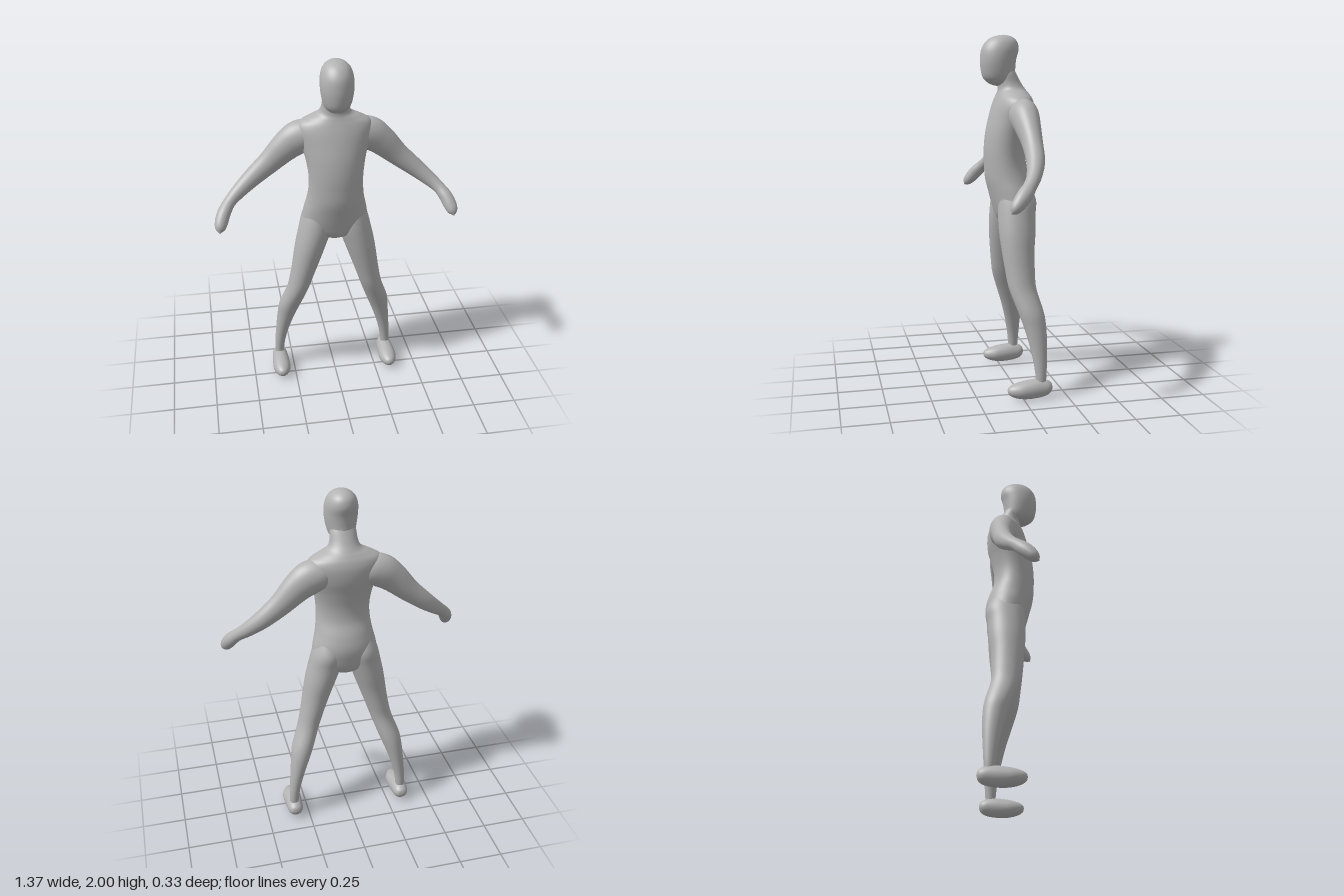
import * as THREE from 'three';

const X = new THREE.Vector3(1, 0, 0);
const Y = new THREE.Vector3(0, 1, 0);
const Z = new THREE.Vector3(0, 0, 1);
const SIDES = 40, STEPS = 6;

// Smooth closed skin over oval stations [x, y, z, halfWidth, halfDepth].
// ref orients the ovals; axis, when given, keeps every oval square to it.
function loft(stations, ref, axis) {
  const path = new THREE.CatmullRomCurve3(stations.map(s => new THREE.Vector3(s[0], s[1], s[2])), false, 'catmullrom', 0.5);
  const size = new THREE.CatmullRomCurve3(stations.map(s => new THREE.Vector3(s[3], s[4], 0)), false, 'catmullrom', 0.5);
  const rows = (stations.length - 1) * STEPS;
  const pos = [], idx = [];
  for (let i = 0; i <= rows; i++) {
    const c = path.getPoint(i / rows), r = size.getPoint(i / rows);
    const t = axis || path.getTangent(i / rows);
    const u = new THREE.Vector3().crossVectors(t, ref).normalize();
    const v = new THREE.Vector3().crossVectors(u, t).normalize();
    for (let j = 0; j < SIDES; j++) {
      const a = (j / SIDES) * Math.PI * 2;
      const p = c.clone()
        .addScaledVector(u, Math.max(r.x, 0.002) * Math.cos(a))
        .addScaledVector(v, Math.max(r.y, 0.002) * Math.sin(a));
      pos.push(p.x, p.y, p.z);
    }
  }
  for (let i = 0; i < rows; i++) {
    for (let j = 0; j < SIDES; j++) {
      const k = (j + 1) % SIDES, a = i * SIDES, b = a + SIDES;
      idx.push(a + j, b + j, b + k, a + j, b + k, a + k);
    }
  }
  // End caps
  const first = path.getPoint(0), last = path.getPoint(1);
  const n = pos.length / 3, top = rows * SIDES;
  pos.push(first.x, first.y, first.z, last.x, last.y, last.z);
  for (let j = 0; j < SIDES; j++) {
    const k = (j + 1) % SIDES;
    idx.push(n, j, k, n + 1, top + k, top + j);
  }
  const g = new THREE.BufferGeometry();
  g.setAttribute('position', new THREE.Float32BufferAttribute(pos, 3));
  g.setIndex(idx);
  g.computeVertexNormals();
  return g;
}

// Upright section: height, centre x, half width, back z, front z
const level = (y, x, w, back, front) => [x, y, (back + front) / 2, w, (front - back) / 2];

export function createModel() {
  const model = new THREE.Group();
  model.name = 'humanFigure';
  const skin = new THREE.MeshStandardMaterial({ color: 0xb3b3b3 });
  skin.name = 'plain grey';
  const add = (name, geometry) => {
    const mesh = new THREE.Mesh(geometry, skin);
    mesh.name = name;
    model.add(mesh);
  };

  // Torso from crotch to neck
  add('torso', loft([
    level(0.945, 0, 0.0, -0.03, -0.03),
    level(0.955, 0, 0.07, -0.08, 0.05),
    level(0.985, 0, 0.14, -0.108, 0.08),
    level(1.04, 0, 0.187, -0.125, 0.098),
    level(1.12, 0, 0.182, -0.137, 0.12),
    level(1.2, 0, 0.163, -0.122, 0.14),
    level(1.28, 0, 0.153, -0.092, 0.146),
    level(1.36, 0, 0.154, -0.088, 0.147),
    level(1.45, 0, 0.168, -0.105, 0.138),
    level(1.53, 0, 0.19, -0.126, 0.12),
    level(1.6, 0, 0.21, -0.131, 0.1),
    level(1.645, 0, 0.197, -0.122, 0.084),
    level(1.675, 0, 0.145, -0.106, 0.073),
    level(1.7, 0, 0.095, -0.088, 0.067),
    level(1.735, 0, 0.077, -0.064, 0.07),
    level(1.79, 0, 0.07, -0.034, 0.08),
    level(1.83, 0, 0.05, -0.015, 0.08),
  ], Z, Y));

  // Featureless head with a projecting jaw
  add('head', loft([
    level(1.718, 0, 0.0, 0.07, 0.07),
    level(1.724, 0, 0.035, 0.02, 0.1),
    level(1.742, 0, 0.06, -0.02, 0.133),
    level(1.77, 0, 0.075, -0.03, 0.155),
    level(1.82, 0, 0.086, -0.031, 0.166),
    level(1.87, 0, 0.091, -0.037, 0.168),
    level(1.92, 0, 0.088, -0.05, 0.161),
    level(1.96, 0, 0.074, -0.043, 0.138),
    level(1.985, 0, 0.05, -0.02, 0.105),
    level(1.997, 0, 0.022, 0.01, 0.065),
    level(2.0, 0, 0.0, 0.035, 0.035),
  ], Z, Y));

  for (const [side, s] of [['left', 1], ['right', -1]]) {
    // Arm and mitten hand, bent forward from the elbow
    add(side + 'Arm', loft([
      [0.07, 1.575, -0.03, 0.05, 0.06],
      [0.13, 1.57, -0.033, 0.083, 0.08],
      [0.2, 1.55, -0.036, 0.094, 0.08],
      [0.27, 1.5, -0.038, 0.083, 0.069],
      [0.36, 1.415, -0.04, 0.065, 0.055],
      [0.46, 1.332, -0.03, 0.052, 0.049],
      [0.54, 1.267, -0.002, 0.041, 0.04],
      [0.593, 1.222, 0.032, 0.034, 0.035],
      [0.628, 1.178, 0.07, 0.037, 0.04],
      [0.647, 1.137, 0.105, 0.036, 0.036],
      [0.656, 1.108, 0.13, 0.026, 0.025],
      [0.659, 1.09, 0.147, 0.0, 0.0],
    ].map(([x, ...rest]) => [s * x, ...rest]), Z));

    // Leg from hip to ankle
    add(side + 'Leg', loft([
      level(0.06, s * 0.337, 0.024, -0.125, -0.072),
      level(0.12, s * 0.336, 0.028, -0.13, -0.07),
      level(0.2, s * 0.328, 0.032, -0.135, -0.06),
      level(0.3, s * 0.31, 0.042, -0.14, -0.04),
      level(0.4, s * 0.287, 0.055, -0.14, -0.013),
      level(0.48, s * 0.265, 0.064, -0.13, 0.014),
      level(0.6, s * 0.222, 0.064, -0.1, 0.054),
      level(0.7, s * 0.194, 0.07, -0.098, 0.07),
      level(0.8, s * 0.168, 0.08, -0.102, 0.082),
      level(0.9, s * 0.142, 0.09, -0.114, 0.091),
      level(1.0, s * 0.114, 0.096, -0.121, 0.092),
      level(1.08, s * 0.1, 0.09, -0.128, 0.085),
      level(1.16, s * 0.09, 0.07, -0.1, 0.07),
    ], Z, Y));

    // Rounded foot, heel to toe
    add(side + 'Foot', loft([
      [s * 0.335, 0.06, -0.165, 0.0, 0.0],
      [s * 0.335, 0.06, -0.158, 0.026, 0.024],
      [s * 0.335, 0.058, -0.135, 0.042, 0.042],
      [s * 0.335, 0.057, -0.09, 0.048, 0.053],
      [s * 0.335, 0.053, -0.03, 0.052, 0.053],
      [s * 0.335, 0.051, 0.02, 0.051, 0.046],
      [s * 0.335, 0.051, 0.06, 0.038, 0.034],
      [s * 0.335, 0.052, 0.083, 0.02, 0.019],
      [s * 0.335, 0.053, 0.09, 0.0, 0.0],
    ], Y, Z));
  }
  return model;
}
